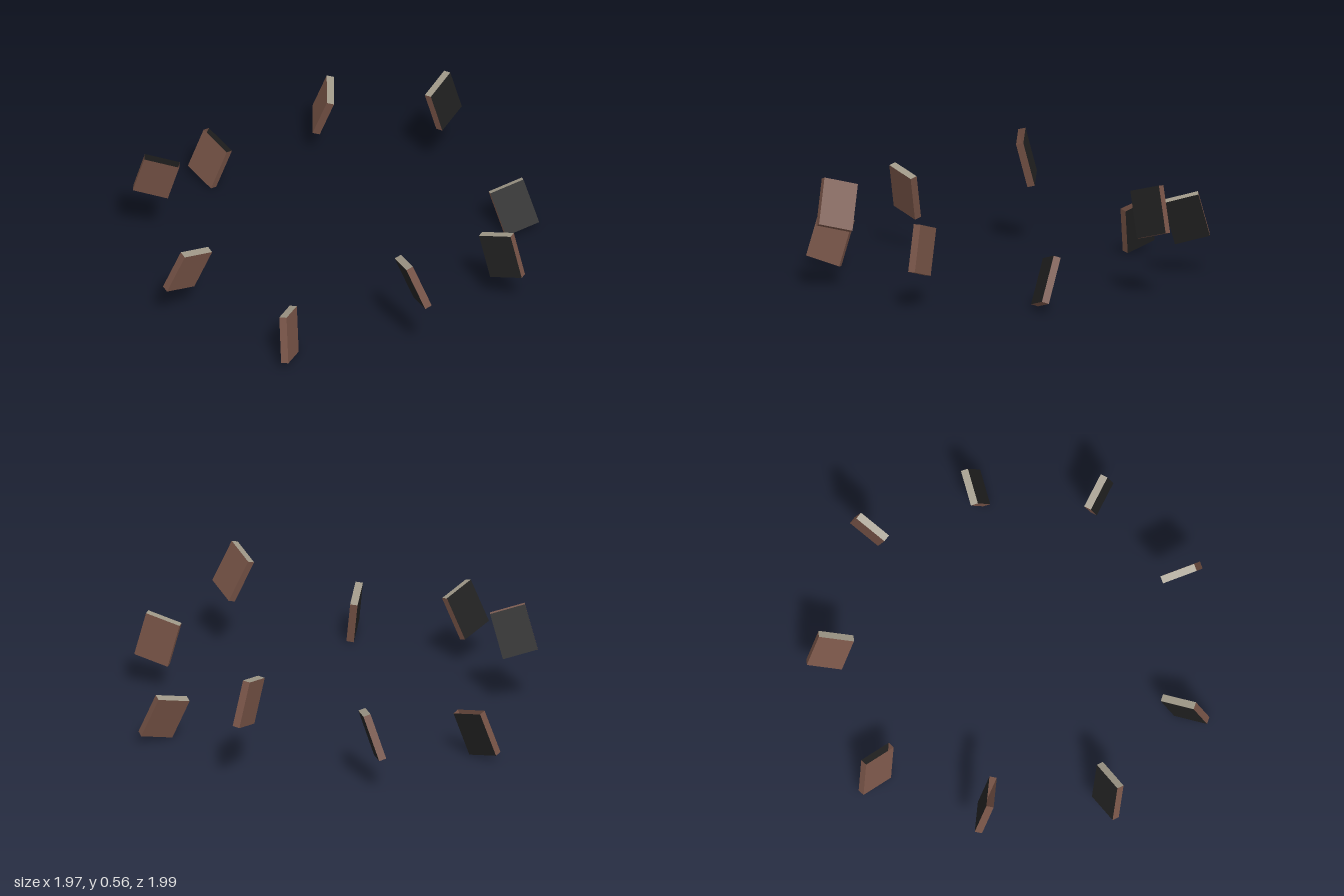
import * as THREE from 'three';

const COUNT = 9, RADIUS = 0.895, OFFSET_X = -0.026;
const WIDTH = 0.178, HEIGHT = 0.237, DEPTH = 0.037;

// Box without its top; the front cover is dark, the back cover and edges are brown
function makeCoverGeometry() {
  const box = new THREE.BoxGeometry(WIDTH, HEIGHT, DEPTH);
  const index = Array.from(box.index.array);
  index.splice(12, 6);
  box.setIndex(index);
  box.clearGroups();
  box.addGroup(0, 18, 0);
  box.addGroup(18, 6, 1);
  box.addGroup(24, 6, 0);
  return box;
}

export function createModel() {
  const model = new THREE.Group();
  model.name = 'ringOfBooks';

  const brown = new THREE.MeshStandardMaterial({ color: 0x795548, side: THREE.DoubleSide });
  brown.name = 'brown leather';
  const black = new THREE.MeshStandardMaterial({ color: 0x212121, side: THREE.DoubleSide });
  black.name = 'black cover';
  const paper = new THREE.MeshStandardMaterial({ color: 0x9e9787 });
  paper.name = 'paper';

  const coverGeometry = makeCoverGeometry();
  const pageGeometry = new THREE.PlaneGeometry(WIDTH, DEPTH);
  pageGeometry.rotateX(-Math.PI / 2);
  pageGeometry.translate(0, HEIGHT / 2, 0);

  // Floating books, each leaning inwards and swaying sideways
  for (let i = 0; i < COUNT; i++) {
    const angle = (i / COUNT) * Math.PI * 2;
    const book = new THREE.Group();
    book.name = 'book' + (i + 1);
    book.position.set(
      OFFSET_X + RADIUS * Math.cos(angle),
      0.28 + 0.163 * Math.sin((i * Math.PI * 2) / 3),
      RADIUS * Math.sin(angle)
    );
    book.rotation.set(0.335 * Math.sin(2 * angle), -angle, 0.26, 'YXZ');

    const cover = new THREE.Mesh(coverGeometry, [brown, black]);
    cover.name = 'cover';
    book.add(cover);

    // Two of the books are hollow, with no pages
    if (i !== 4 && i !== 5) {
      const pages = new THREE.Mesh(pageGeometry, paper);
      pages.name = 'pages';
      book.add(pages);
    }
    model.add(book);
  }
  return model;
}
